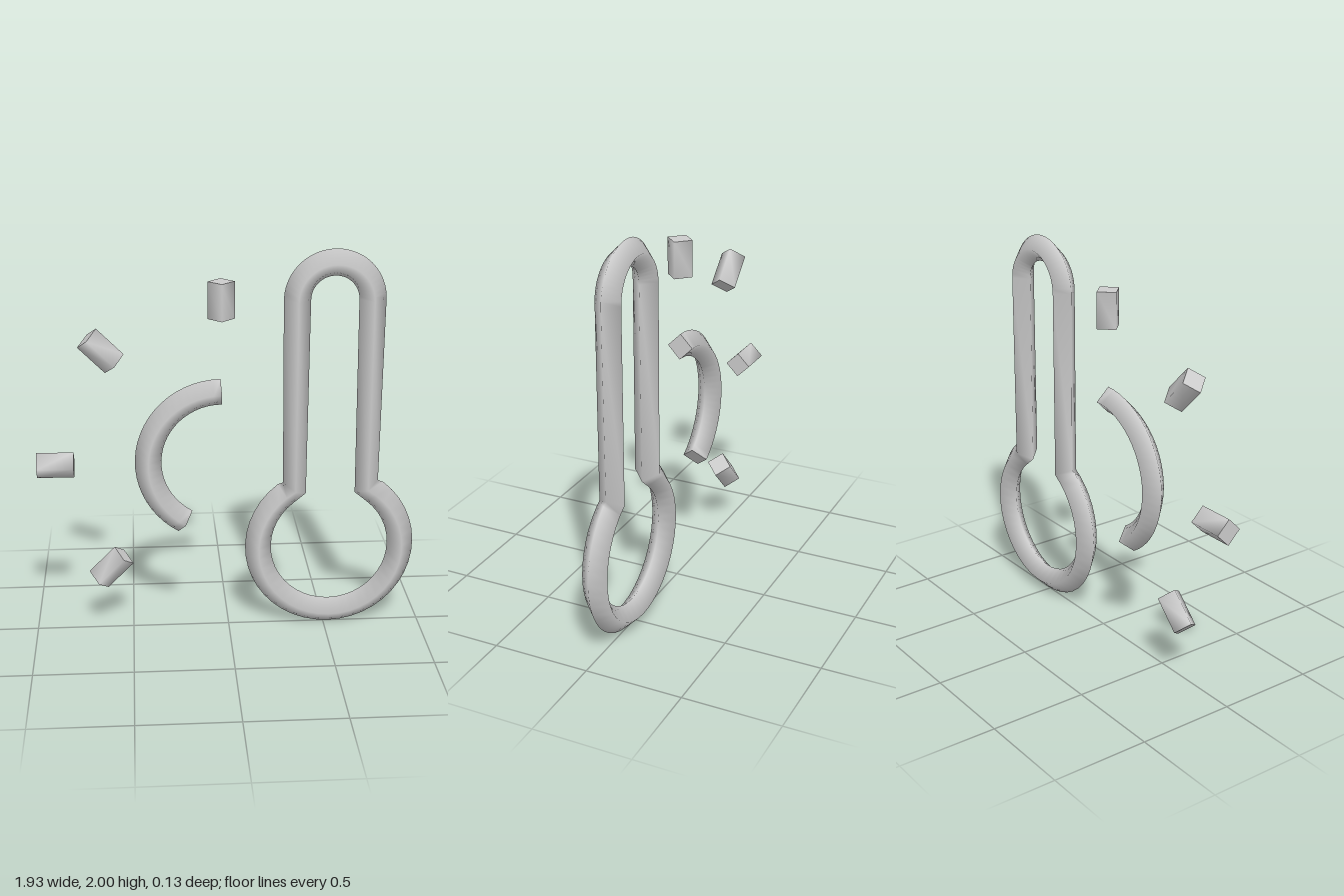
import * as THREE from 'three';

const R = 0.067; // half width of the diamond section

// Points along an arc in the xy plane, angles in degrees
function arc(cx, cy, r, from, to, steps) {
  return Array.from({ length: steps + 1 }, (_, i) => {
    const a = THREE.MathUtils.degToRad(from + (to - from) * i / steps);
    return new THREE.Vector2(cx + r * Math.cos(a), cy + r * Math.sin(a));
  });
}

// Sweep a diamond section along a flat path, with smooth sides and flat end caps
function sweep(path, closed) {
  const n = path.length, pos = [], index = [];
  const dir = (a, b) => b.clone().sub(a).normalize();
  path.forEach((p, i) => {
    const t = new THREE.Vector2();
    if (closed || i > 0) t.add(dir(path[(i + n - 1) % n], p));
    if (closed || i < n - 1) t.add(dir(p, path[(i + 1) % n]));
    t.normalize().multiplyScalar(R);
    pos.push(p.x + t.y, p.y - t.x, 0, p.x, p.y, -R, p.x - t.y, p.y + t.x, 0, p.x, p.y, R);
  });
  for (let i = 0; i < (closed ? n : n - 1); i++) {
    for (let k = 0; k < 4; k++) {
      const a = i * 4 + k, b = i * 4 + (k + 1) % 4;
      const c = ((i + 1) % n) * 4 + k, d = ((i + 1) % n) * 4 + (k + 1) % 4;
      index.push(a, b, c, b, d, c);
    }
  }
  if (!closed) {
    // caps get their own corners so their edges stay sharp
    const s = pos.length / 3;
    pos.push(...pos.slice(0, 12), ...pos.slice((n - 1) * 12, n * 12));
    index.push(s, s + 2, s + 1, s, s + 3, s + 2, s + 4, s + 5, s + 6, s + 4, s + 6, s + 7);
  }
  const g = new THREE.BufferGeometry();
  g.setAttribute('position', new THREE.Float32BufferAttribute(pos, 3));
  g.setIndex(index);
  g.computeVertexNormals();
  return g;
}

export function createModel() {
  const group = new THREE.Group();
  const grey = new THREE.MeshStandardMaterial({ color: 0xcccccc });
  grey.name = 'light grey';
  const add = (name, path, closed = false) => {
    const mesh = new THREE.Mesh(sweep(path, closed), grey);
    mesh.name = name;
    group.add(mesh);
  };

  // Thermometer: rounded top, straight sides and bulb in one closed outline
  add('thermometerOutline', [
    ...arc(0.523, 1.747, 0.186, 0, 180, 24),
    ...arc(0.523, 0.438, 0.371, 120, 420, 36),
  ], true);

  // Sun: partial disc outline and four rays around it
  const sx = -0.037, sy = 0.913;
  add('sunArc', arc(sx, sy, 0.371, 90, 240, 24));
  [[90, 0.746], [135, 0.746], [180, 0.744], [225, 0.714]].forEach(([deg, inner], i) => {
    const a = THREE.MathUtils.degToRad(deg);
    const at = r => new THREE.Vector2(sx + r * Math.cos(a), sy + r * Math.sin(a));
    add('sunRay' + (i + 1), [at(inner), at(inner + 0.187)]);
  });

  return group;
}
